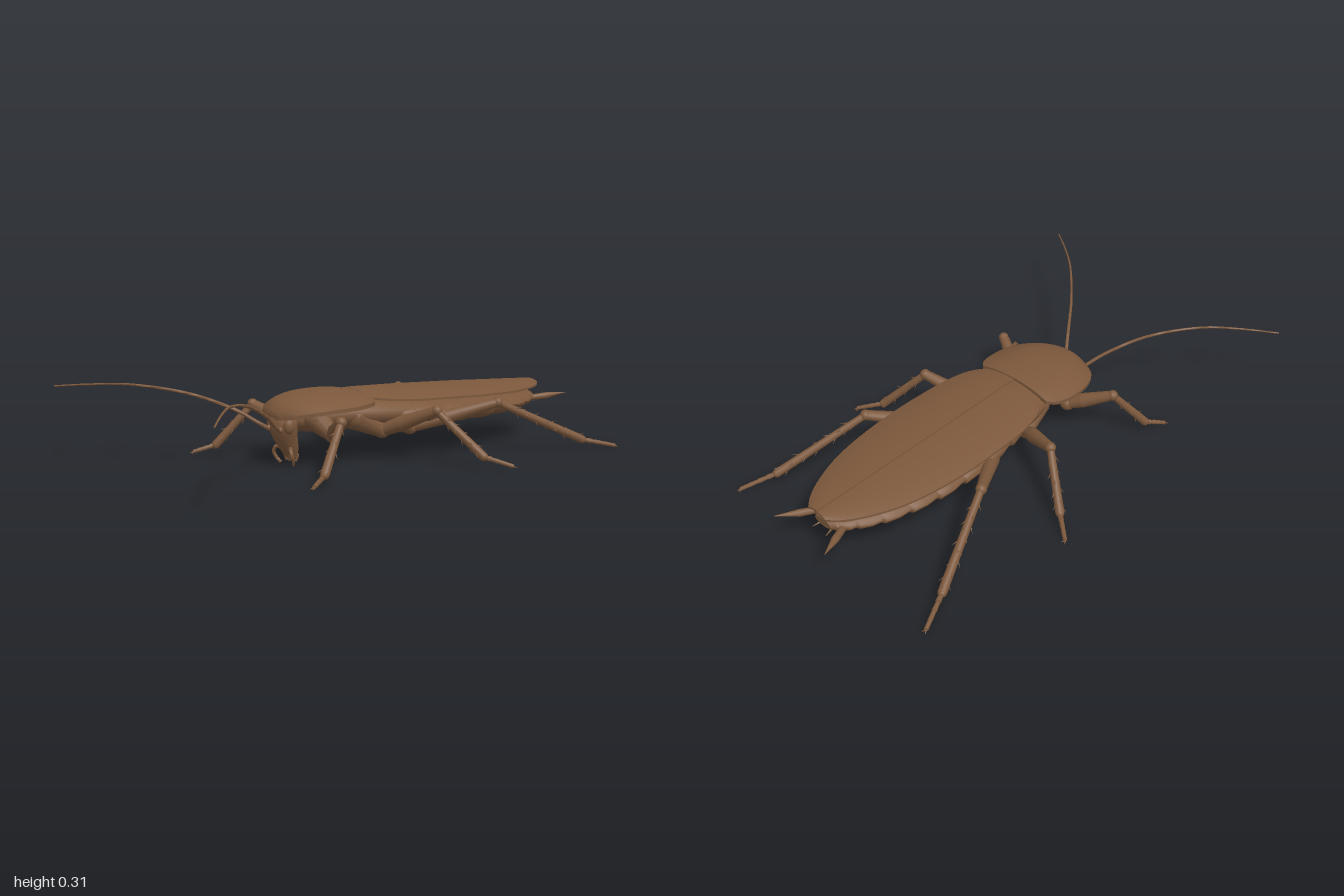
import * as THREE from 'three';
import { toCreasedNormals } from 'three/addons/utils/BufferGeometryUtils.js';

const brown = new THREE.MeshStandardMaterial({ color: 0x7c583c });
brown.name = 'chestnut brown';
const V = (x, y, z) => new THREE.Vector3(x, y, z);

function add(parent, geometry, name) {
  const mesh = new THREE.Mesh(geometry, brown);
  mesh.name = name;
  parent.add(mesh);
  return mesh;
}

// Closed skin through rings of points, capped at both ends and wound outwards
function loft(rings, crease = 0.7) {
  const n = rings[0].length, pts = rings.flat(), index = [];
  for (let r = 0; r < rings.length - 1; r++)
    for (let i = 0; i < n; i++) {
      const a = r * n + i, b = r * n + (i + 1) % n;
      index.push(a, b, a + n, b, b + n, a + n);
    }
  [0, rings.length - 1].forEach((r, end) => {
    const c = pts.length;
    pts.push(rings[r].reduce((s, p) => s.add(p), V(0, 0, 0)).divideScalar(n));
    for (let i = 0; i < n; i++) {
      const a = r * n + i, b = r * n + (i + 1) % n;
      if (end) index.push(c, a, b); else index.push(c, b, a);
    }
  });
  let volume = 0;
  for (let i = 0; i < index.length; i += 3)
    volume += pts[index[i]].dot(V(0, 0, 0).crossVectors(pts[index[i + 1]], pts[index[i + 2]]));
  if (volume < 0) index.reverse();
  const g = new THREE.BufferGeometry().setFromPoints(pts);
  g.setIndex(index);
  return toCreasedNormals(g, crease);
}

// Smooth interpolation between rows of numbers
function resample(rows, count) {
  const out = [];
  for (let i = 0; i <= count; i++) {
    const t = i / count * (rows.length - 1), k = Math.min(Math.floor(t), rows.length - 2), f = t - k;
    const at = j => rows[Math.max(0, Math.min(rows.length - 1, j))];
    out.push(rows[k].map((p, c) => {
      const q = at(k + 1)[c], m0 = (q - at(k - 1)[c]) / 2, m1 = (at(k + 2)[c] - p) / 2;
      return p + f * m0 + f * f * (3 * (q - p) - 2 * m0 - m1) + f * f * f * (2 * (p - q) + m0 + m1);
    }));
  }
  return out;
}

// Oval cross-section facing z
function oval(z, w, top, bottom, n = 28) {
  return Array.from({ length: n }, (_, i) => {
    const a = i / n * Math.PI * 2;
    return V(Math.cos(a) * w, (top + bottom) / 2 + Math.sin(a) * (top - bottom) / 2, z);
  });
}

// Thin domed plate; rows are [z, half width, edge y, crown y], s runs across from s0 to s1
function plate(rows, thick, s0, s1, power, drop = 0) {
  const n = 16;
  return loft(rows.map(([z, w, edge, crown]) => {
    const ring = [];
    for (let layer = 0; layer < 2; layer++)
      for (let i = 0; i <= n; i++) {
        const s = s0 + (s1 - s0) * (layer ? n - i : i) / n;
        const y = edge + (crown - edge) * (1 - Math.abs(s) ** power) - drop;
        ring.push(V(s * w, y - layer * thick, z));
      }
    return ring;
  }), 0.6);
}

// Tapered rod from a to b
function rod(parent, a, b, ra, rb, name, sides = 12) {
  const m = add(parent, new THREE.CylinderGeometry(rb, ra, a.distanceTo(b), sides), name);
  m.position.copy(a).add(b).multiplyScalar(0.5);
  m.quaternion.setFromUnitVectors(V(0, 1, 0), b.clone().sub(a).normalize());
  return m;
}

function ball(parent, p, r, name, sx = 1, sy = 1, sz = 1) {
  const m = add(parent, new THREE.SphereGeometry(r, 14, 10), name);
  m.position.copy(p);
  m.scale.set(sx, sy, sz);
}

// Tube that narrows towards its end
function whip(points, r0, r1, steps) {
  const curve = new THREE.CatmullRomCurve3(points), frames = curve.computeFrenetFrames(steps);
  return loft(Array.from({ length: steps + 1 }, (_, i) => {
    const c = curve.getPointAt(i / steps), r = r0 + (r1 - r0) * i / steps;
    return Array.from({ length: 8 }, (_, k) => c.clone()
      .addScaledVector(frames.normals[i], r * Math.cos(k * Math.PI / 4))
      .addScaledVector(frames.binormals[i], r * Math.sin(k * Math.PI / 4)));
  }), 1.2);
}

// Leg from root, hip, knee, ankle and toe
function leg(parent, side, name, spec, spineCount) {
  const g = new THREE.Group();
  g.name = name;
  const [root, hip, knee, ankle, toe] = spec.map(p => V(p[0] * side, p[1], p[2]));
  rod(g, root, hip, 0.05, 0.028, 'coxa');
  ball(g, root, 0.05, 'coxaBase');
  ball(g, hip, 0.03, 'hipJoint');
  const mid = hip.clone().lerp(knee, 0.35);
  rod(g, hip, mid, 0.024, 0.029, 'upperFemur');
  rod(g, mid, knee, 0.029, 0.019, 'lowerFemur');
  ball(g, knee, 0.021, 'kneeJoint');
  rod(g, knee, ankle, 0.014, 0.017, 'tibia');
  ball(g, ankle, 0.016, 'ankleJoint');
  // segmented foot
  for (let i = 0; i < 4; i++)
    rod(g, ankle.clone().lerp(toe, i / 4), ankle.clone().lerp(toe, (i + 1) / 4), 0.008, 0.011 - i * 0.001, 'footSegment', 8);
  const along = ankle.clone().sub(knee).normalize();
  const u = V(0, 1, 0).cross(along).normalize(), v = along.clone().cross(u);
  for (let i = 0; i < spineCount; i++) {
    const a = i * 2.4, out = u.clone().multiplyScalar(Math.cos(a)).addScaledVector(v, Math.sin(a));
    const p = knee.clone().lerp(ankle, 0.15 + 0.83 * i / spineCount).addScaledVector(out, 0.012);
    rod(g, p, p.clone().addScaledVector(out, 0.014).addScaledVector(along, 0.02), 0.003, 0.0005, 'legSpine', 5);
  }
  for (const s of [-1, 1])
    rod(g, toe, toe.clone().add(V(s * 0.008, -0.006, Math.sign(toe.z) * 0.012)), 0.004, 0.001, 'claw', 6);
  parent.add(g);
}

export function createModel() {
  const model = new THREE.Group();
  model.name = 'cockroach';

  // Shield over the front of the body
  const shield = resample([
    [0.065, 0.165, 0.245, 0.270], [0.10, 0.195, 0.240, 0.276], [0.18, 0.207, 0.233, 0.281], [0.27, 0.195, 0.228, 0.277],
    [0.34, 0.160, 0.219, 0.262], [0.385, 0.108, 0.207, 0.241], [0.407, 0.05, 0.200, 0.217], [0.412, 0.02, 0.198, 0.206]], 28);
  add(model, plate(shield, 0.014, -1, 1, 2.4), 'shield');

  // Folded wings, one lapping over the other
  const wing = resample([
    [0.06, 0.14, 0.25, 0.270], [0.0, 0.185, 0.245, 0.274], [-0.1, 0.211, 0.239, 0.271], [-0.25, 0.22, 0.235, 0.267],
    [-0.4, 0.219, 0.230, 0.261], [-0.55, 0.205, 0.226, 0.256], [-0.68, 0.178, 0.224, 0.250], [-0.79, 0.135, 0.224, 0.245],
    [-0.87, 0.088, 0.225, 0.241], [-0.915, 0.045, 0.228, 0.238]], 36);
  add(model, plate(wing, 0.008, -0.04, 1, 2.2), 'leftWing');
  add(model, plate(wing, 0.008, -1, 0.1, 2.2, 0.005), 'rightWing');

  // Middle of the body
  add(model, loft(resample([
    [0.37, 0.045, 0.215, 0.15], [0.27, 0.09, 0.245, 0.125], [0.15, 0.125, 0.252, 0.125],
    [0.02, 0.155, 0.252, 0.115], [-0.12, 0.17, 0.245, 0.112]], 16).map(r => oval(...r))), 'thorax');

  // Abdomen of overlapping ring segments
  const belly = resample([
    [-0.02, 0.15, 0.235, 0.115], [-0.2, 0.19, 0.228, 0.108], [-0.4, 0.2, 0.218, 0.11], [-0.58, 0.185, 0.21, 0.115],
    [-0.74, 0.145, 0.203, 0.124], [-0.85, 0.085, 0.196, 0.138], [-0.89, 0.045, 0.19, 0.15]], 9);
  for (let i = 0; i < 9; i++) {
    const [z0, w0, t0, b0] = belly[i], [z1, w1, t1, b1] = belly[i + 1];
    const e = 0.007;
    add(model, loft([
      oval(z0, w0 - 0.004, t0, b0 + 0.003),
      oval((z0 + z1) / 2, (w0 + w1) / 2 + e, (t0 + t1) / 2, (b0 + b1) / 2 - 0.002),
      oval(z1 + 0.005, w1 + e, t1 + 0.002, b1 - 0.005),
      oval(z1 - 0.005, w1 - 0.004, t1 - 0.003, b1 + 0.004)]), 'abdomenSegment');
  }

  // Head, tilted so the mouth sits further back
  const head = resample([
    [0.212, 0.345, 0.03, 0.025], [0.185, 0.36, 0.06, 0.042], [0.15, 0.366, 0.067, 0.045], [0.11, 0.357, 0.054, 0.042],
    [0.07, 0.342, 0.04, 0.034], [0.035, 0.33, 0.026, 0.02]], 15);
  add(model, loft(head.map(([y, z, w, d]) => Array.from({ length: 20 }, (_, i) => {
    const a = i / 20 * Math.PI * 2;
    return V(Math.cos(a) * w, y, z + Math.sin(a) * d);
  }))), 'head');

  for (const s of [1, -1]) {
    const label = s > 0 ? 'left' : 'right';
    const path = pts => pts.map(([x, y, z]) => V(x * s, y, z));
    ball(model, V(0.055 * s, 0.163, 0.375), 0.026, label + 'Eye', 0.7, 1.2, 0.9);
    ball(model, V(0.036 * s, 0.148, 0.405), 0.012, label + 'AntennaBase');
    add(model, whip(path([[0.035, 0.145, 0.405], [0.06, 0.172, 0.445], [0.1, 0.212, 0.5], [0.2, 0.274, 0.635],
      [0.35, 0.307, 0.8], [0.47, 0.304, 0.905], [0.588, 0.293, 0.998]]), 0.0075, 0.003, 40), label + 'Antenna');
    // mouthparts
    add(model, whip(path([[0.025, 0.065, 0.35], [0.045, 0.075, 0.365], [0.06, 0.055, 0.37], [0.057, 0.03, 0.36],
      [0.042, 0.012, 0.35]]), 0.008, 0.006, 14), label + 'OuterPalp');
    add(model, whip(path([[0.015, 0.06, 0.335], [0.025, 0.045, 0.32], [0.02, 0.022, 0.325]]), 0.007, 0.005, 8), label + 'InnerPalp');
    rod(model, V(0.018 * s, 0.06, 0.345), V(0.008 * s, 0.025, 0.345), 0.014, 0.006, label + 'Jaw');
    // tail feelers
    rod(model, V(0.062 * s, 0.163, -0.85), V(0.095 * s, 0.17, -0.92), 0.012, 0.014, label + 'TailFeelerBase');
    rod(model, V(0.095 * s, 0.17, -0.92), V(0.135 * s, 0.182, -0.998), 0.014, 0.001, label + 'TailFeelerTip');
    rod(model, V(0.025 * s, 0.15, -0.87), V(0.035 * s, 0.142, -0.915), 0.006, 0.001, label + 'TailStyle', 6);

    leg(model, s, label + 'FrontLeg', [[0.07, 0.185, 0.27], [0.13, 0.125, 0.235], [0.29, 0.2, 0.315], [0.365, 0.04, 0.44], [0.408, 0.015, 0.515]], 10);
    leg(model, s, label + 'MiddleLeg', [[0.09, 0.175, 0.1], [0.125, 0.118, 0.0], [0.33, 0.208, -0.095], [0.475, 0.045, -0.2], [0.56, 0.015, -0.268]], 14);
    leg(model, s, label + 'HindLeg', [[0.1, 0.165, -0.04], [0.11, 0.115, -0.15], [0.305, 0.208, -0.43], [0.445, 0.045, -0.765], [0.502, 0.015, -0.895]], 20);
  }
  return model;
}
